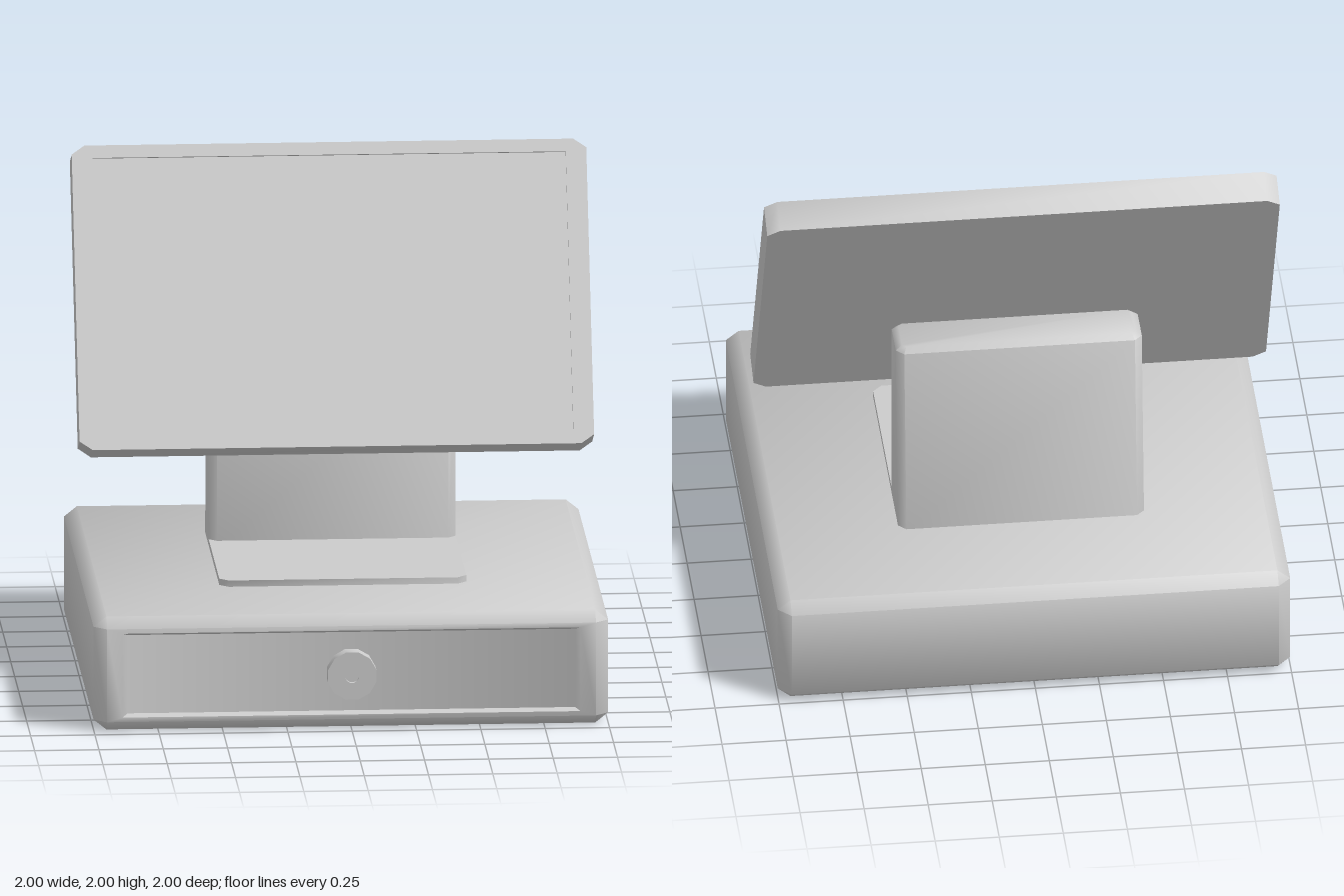
import * as THREE from 'three';
import { toCreasedNormals } from 'three/addons/utils/BufferGeometryUtils.js';

const grey = new THREE.MeshStandardMaterial({ color: 0xcccccc });

// Rectangle at depth z with corners cut by cx, cy (counter-clockwise from +z)
function ring(z, hx, y0, y1, cx = 0, cy = cx) {
  return [
    [-hx + cx, y0], [hx - cx, y0], [hx, y0 + cy], [hx, y1 - cy],
    [hx - cx, y1], [-hx + cx, y1], [-hx, y1 - cy], [-hx, y0 + cy],
  ].map(([x, y]) => [x, y, z]);
}

// Closed solid through a series of rings, capped at both ends
function loft(rings) {
  const n = rings[0].length, index = [];
  for (let r = 0; r < rings.length - 1; r++) {
    for (let i = 0; i < n; i++) {
      const j = (i + 1) % n, a = r * n, b = a + n;
      index.push(a + i, a + j, b + j, a + i, b + j, b + i);
    }
  }
  const last = (rings.length - 1) * n;
  for (let i = 1; i < n - 1; i++) {
    index.push(0, i + 1, i);
    index.push(last, last + i, last + i + 1);
  }
  const geo = new THREE.BufferGeometry();
  geo.setAttribute('position', new THREE.Float32BufferAttribute(rings.flat(2), 3));
  geo.setIndex(index);
  return toCreasedNormals(geo, 0.9);
}

export function createModel() {
  const model = new THREE.Group();
  const add = (name, geo) => {
    const mesh = new THREE.Mesh(geo, grey);
    mesh.name = name;
    model.add(mesh);
    return mesh;
  };

  // Cash drawer body with bevelled edges and a recessed drawer front
  const c = 0.05, d = 0.04;
  add('drawerBase', loft([
    ring(-1, 1 - c, d, 0.45 - d),
    ring(-1 + c, 1, 0, 0.45, c, d),
    ring(0.96 - c, 1, 0, 0.45, c, d),
    ring(0.96, 1 - c, d, 0.45 - d),
    ring(0.96, 0.89, 0.058, 0.392),
    ring(0.94, 0.87, 0.07, 0.382),
  ]));

  // Round lock with a small keyhole
  const lock = new THREE.LatheGeometry([
    [0.097, 0], [0.097, 0.06], [0.028, 0.06], [0.028, 0.045], [0, 0.045],
  ].map(([x, y]) => new THREE.Vector2(x, y)), 12, Math.PI / 12);
  lock.rotateX(Math.PI / 2);
  add('drawerLock', toCreasedNormals(lock, 0.9)).position.set(0, 0.22, 0.94);

  // Stand foot plate, lying on the drawer
  const foot = loft([
    ring(0.44, 0.48, -0.44, 0.3, 0.035),
    ring(0.475, 0.48, -0.44, 0.3, 0.035),
  ]);
  add('standFoot', foot.rotateX(-Math.PI / 2));

  // Tapered upright with a bevelled top
  const post = loft([
    ring(0.44, 0.48, 0.23, 0.515, 0.03),
    ring(1.22, 0.48, 0.23, 0.437, 0.03),
    ring(1.24, 0.455, 0.255, 0.415, 0.015),
  ]);
  add('standPost', post.rotateX(-Math.PI / 2));

  // Tilted display with a shallow recessed screen
  const display = add('display', loft([
    ring(-0.13, 1, 0, 1.21, 0.05, 0.035),
    ring(0, 1, 0, 1.21, 0.05, 0.035),
    ring(0, 0.92, 0.04, 1.16),
    ring(-0.012, 0.92, 0.04, 1.16),
  ]));
  display.position.set(0, 0.91, 0.05);
  display.rotation.x = -0.449;

  return model;
}
